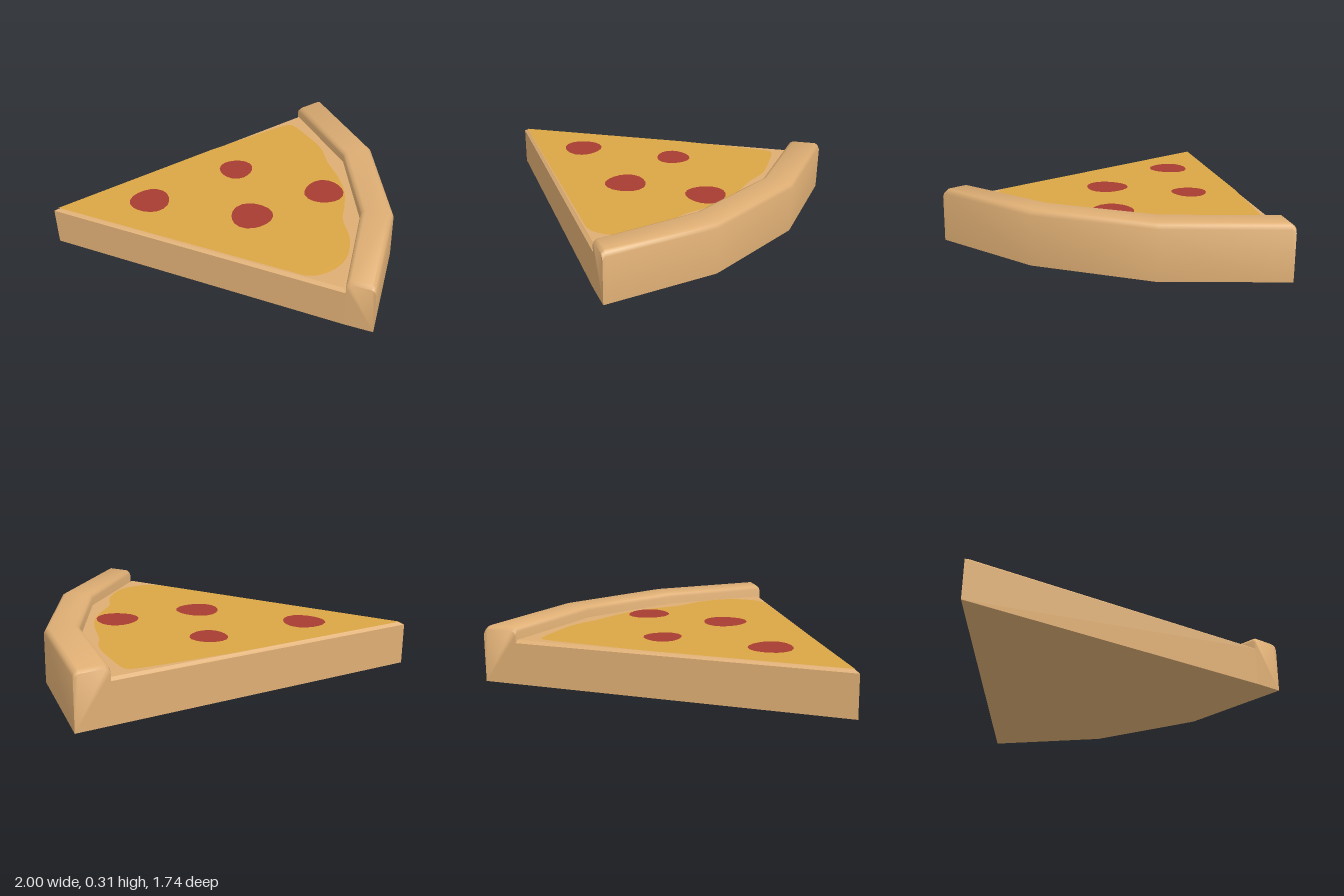
import * as THREE from 'three';
import { toCreasedNormals } from 'three/addons/utils/BufferGeometryUtils.js';

const dough = new THREE.MeshStandardMaterial({ color: 0xdeae74 });
dough.name = 'dough';
const cheese = new THREE.MeshStandardMaterial({ color: 0xdca645 });
cheese.name = 'cheese';
const pepperoni = new THREE.MeshStandardMaterial({ color: 0xa63c30 });
pepperoni.name = 'pepperoni';

// Joins convex rings of equal length and closes both ends
function loft(rings, crease) {
  const n = rings[0].length, last = (rings.length - 1) * n, index = [];
  for (let i = 0; i < rings.length - 1; i++) {
    for (let j = 0; j < n; j++) {
      const a = i * n + j, b = i * n + (j + 1) % n;
      index.push(a, b, b + n, a, b + n, a + n);
    }
  }
  for (let j = 1; j < n - 1; j++) {
    index.push(0, j + 1, j, last, last + j, last + j + 1);
  }
  const geo = new THREE.BufferGeometry();
  geo.setAttribute('position', new THREE.Float32BufferAttribute(rings.flat(2), 3));
  geo.setIndex(index);
  return toCreasedNormals(geo, crease);
}

// Flat plate lying at height y, outlined by [x, z] points
function plate(shape, y) {
  return new THREE.ShapeGeometry(shape, 6).rotateX(-Math.PI / 2).translate(0, y, 0);
}

const mix = (p, q, t) => p.map((v, i) => v + (q[i] - v) * t);

export function createModel() {
  const group = new THREE.Group();
  const add = (name, geo, material) => {
    const mesh = new THREE.Mesh(geo, material);
    mesh.name = name;
    group.add(mesh);
  };

  // Slice base: wedge with a softened top rim
  const outline = [[-1, -0.872], [-0.115, 0.73], [0.36, 0.31], [0.68, -0.21], [0.81, -0.834]];
  const rim = [[-0.972, -0.855], [-0.108, 0.7], [0.36, 0.31], [0.68, -0.21], [0.81, -0.818]];
  const ring = (pts, y) => pts.map(([x, z]) => [x, y, z]);
  add('sliceBase', loft([ring(outline, 0), ring(outline, 0.225), ring(rim, 0.24)], 0.5), dough);

  // Crust: bevelled section swept along the outer bend; [outer, inner] at each bend
  const bends = [
    [[1, -0.83], [0.81, -0.834]],
    [[0.86, -0.15], [0.68, -0.21]],
    [[0.5, 0.44], [0.36, 0.31]],
    [[-0.03, 0.872], [-0.115, 0.73]],
  ];
  const section = ([o, i], top) => [
    [0, 0], [0, top - 0.03], [0.05, top - 0.01], [0.14, top],
    [0.86, top], [0.96, top - 0.008], [1, top - 0.025], [1, 0],
  ].map(([t, y]) => { const [x, z] = mix(o, i, t); return [x, y, z]; });
  const between = (a, b, t) => [mix(a[0], b[0], t), mix(a[1], b[1], t)];
  add('crust', loft([
    section(bends[0], 0.29),
    section(between(bends[0], bends[1], 0.03), 0.306),
    section(bends[1], 0.306),
    section(bends[2], 0.306),
    section(between(bends[3], bends[2], 0.03), 0.306),
    section(bends[3], 0.29),
  ], 0.9), dough);

  // Melted cheese: straight along the cuts, wavy towards the crust
  const wave = [
    [-0.21, 0.5], [-0.15, 0.545], [-0.04, 0.56], [0.08, 0.52], [0.2, 0.4],
    [0.28, 0.25], [0.38, 0.15], [0.48, 0.03], [0.55, -0.12], [0.6, -0.27],
    [0.67, -0.42], [0.695, -0.6], [0.7, -0.75], [0.65, -0.785], [0.5, -0.803],
  ].map(([x, z]) => new THREE.Vector2(x, -z));
  const melt = new THREE.Shape();
  melt.moveTo(-0.975, 0.86);
  melt.lineTo(wave[0].x, wave[0].y);
  melt.splineThru(wave.slice(1));
  melt.lineTo(0.1, 0.835);
  melt.closePath();
  add('cheese', plate(melt, 0.2425), cheese);

  // Pepperoni: slightly uneven discs, [x, z, radius]
  [[-0.51, -0.59, 0.117], [0.09, -0.55, 0.102], [-0.12, -0.1, 0.122], [0.37, -0.03, 0.118]]
    .forEach(([x, z, r], k) => {
      const pts = Array.from({ length: 18 }, (_, i) => {
        const a = i / 18 * Math.PI * 2, d = r * (1 + 0.04 * Math.sin(3 * a + k * 1.7));
        return new THREE.Vector2(x + d * Math.cos(a), -z + d * Math.sin(a));
      });
      add('pepperoni' + (k + 1), plate(new THREE.Shape(pts), 0.2455), pepperoni);
    });

  return group;
}
